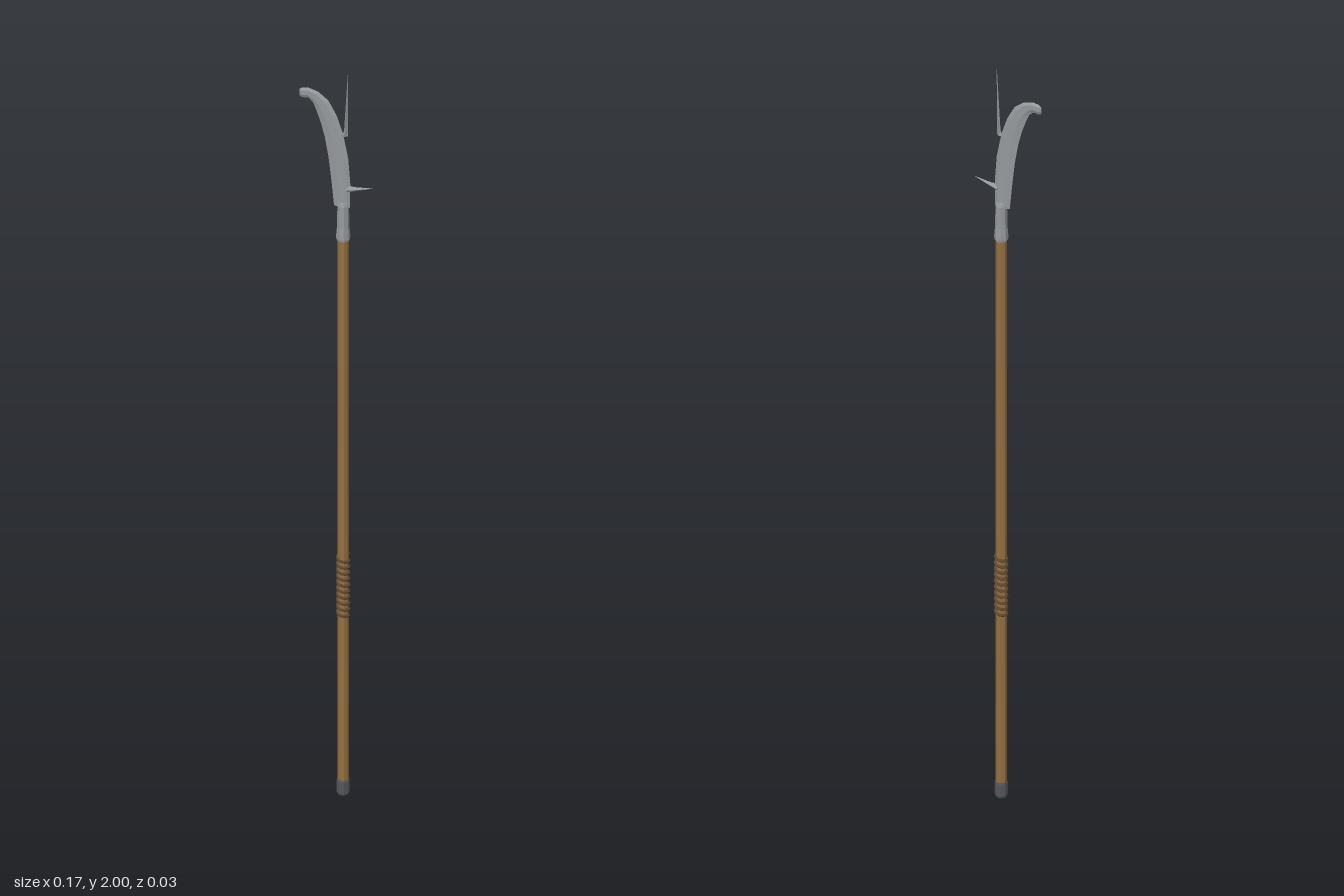
import * as THREE from 'three';

const AXIS = 0.016; // x of the pole axis

// Flat-shaded skin over a list of equal rings of [x, y, z], closed at both ends
function loft(rings) {
  const n = rings[0].length, pos = [];
  const tri = (a, b, c) => pos.push(...a, ...b, ...c);
  for (let i = 0; i < rings.length - 1; i++) {
    for (let j = 0; j < n; j++) {
      const k = (j + 1) % n, lo = rings[i], hi = rings[i + 1];
      tri(lo[j], lo[k], hi[k]);
      tri(lo[j], hi[k], hi[j]);
    }
  }
  const first = rings[0], last = rings[rings.length - 1];
  for (let j = 1; j < n - 1; j++) {
    tri(first[0], first[j + 1], first[j]);
    tri(last[0], last[j], last[j + 1]);
  }
  const g = new THREE.BufferGeometry();
  g.setAttribute('position', new THREE.Float32BufferAttribute(pos, 3));
  g.computeVertexNormals();
  return g;
}

export function createModel() {
  const group = new THREE.Group();
  const material = (color) => new THREE.MeshStandardMaterial({ color, flatShading: true });
  const steel = material(0x96999c), wood = material(0x94703f);
  const cord = material(0x5e4630), iron = material(0x55565a);
  const add = (name, geometry, mat) => {
    const mesh = new THREE.Mesh(geometry, mat);
    mesh.name = name;
    group.add(mesh);
    return mesh;
  };
  const turned = (name, profile, mat) => {
    const g = new THREE.LatheGeometry(profile.map(([r, y]) => new THREE.Vector2(r, y)), 8);
    add(name, g.rotateY(Math.PI / 8).translate(AXIS, 0, 0), mat);
  };

  // Pole, butt cap and socket
  turned('shaft', [[0, 0.02], [0.0132, 0.02], [0.0132, 1.56], [0, 1.56]], wood);
  turned('buttCap', [[0, 0], [0.013, 0], [0.0155, 0.006], [0.0155, 0.036], [0.014, 0.042], [0, 0.042]], iron);
  turned('socket', [[0, 1.535], [0.0155, 1.535], [0.0165, 1.541], [0.016, 1.553], [0.0145, 1.57],
    [0.0135, 1.63], [0.011, 1.638], [0, 1.638]], steel);

  // Cord wound around the grip
  const turns = 10, coil = [];
  for (let i = 0; i <= turns * 10; i++) {
    const a = (i / 10) * Math.PI * 2;
    coil.push(new THREE.Vector3(AXIS + 0.0132 * Math.cos(a), 0.495 + 0.167 * i / (turns * 10), 0.0132 * Math.sin(a)));
  }
  add('gripCord', new THREE.TubeGeometry(new THREE.CatmullRomCurve3(coil), turns * 16, 0.004, 5), cord);

  // Curved blade: pairs of back edge (x, y) and cutting edge (x, y)
  const sections = [
    [0.032, 1.625, -0.006, 1.625], [0.033, 1.69, -0.012, 1.69], [0.028, 1.76, -0.019, 1.755],
    [0.016, 1.825, -0.028, 1.81], [0.001, 1.873, -0.038, 1.85], [-0.019, 1.912, -0.048, 1.88],
    [-0.043, 1.932, -0.056, 1.9], [-0.066, 1.939, -0.067, 1.911], [-0.082, 1.937, -0.082, 1.91],
    [-0.088, 1.932, -0.088, 1.914],
  ];
  add('blade', loft(sections.map(([ox, oy, ix, iy], i) => {
    const z = i === sections.length - 1 ? 0.002 : 0.0045;
    const at = (t, d) => [ox + (ix - ox) * t, oy + (iy - oy) * t, d];
    return [at(0, 0), at(0.2, -z), at(0.65, -z), at(1, 0), at(0.65, z), at(0.2, z)];
  })), steel);

  // Upright spike on the back of the blade
  const spike = [[0.013, 0.027, 0.005, 1.822], [0.018, 0.0275, 0.0065, 1.835],
    [0.02, 0.0275, 0.006, 1.87], [0.0273, 0.028, 0.0004, 2]];
  add('spike', loft(spike.map(([x0, x1, z, y]) => {
    const m = (x0 + x1) / 2;
    return [[x1, y, 0], [m, y, -z], [x0, y, 0], [m, y, z]];
  })), steel);

  // Side spur
  const spur = [[0.024, 1.675, 0.011, 0.007], [0.042, 1.678, 0.006, 0.005], [0.086, 1.688, 0.0004, 0.0004]];
  add('spur', loft(spur.map(([x, y, h, z]) =>
    [[x, y + h, 0], [x, y, z], [x, y - h, 0], [x, y, -z]])), steel);

  return group;
}
